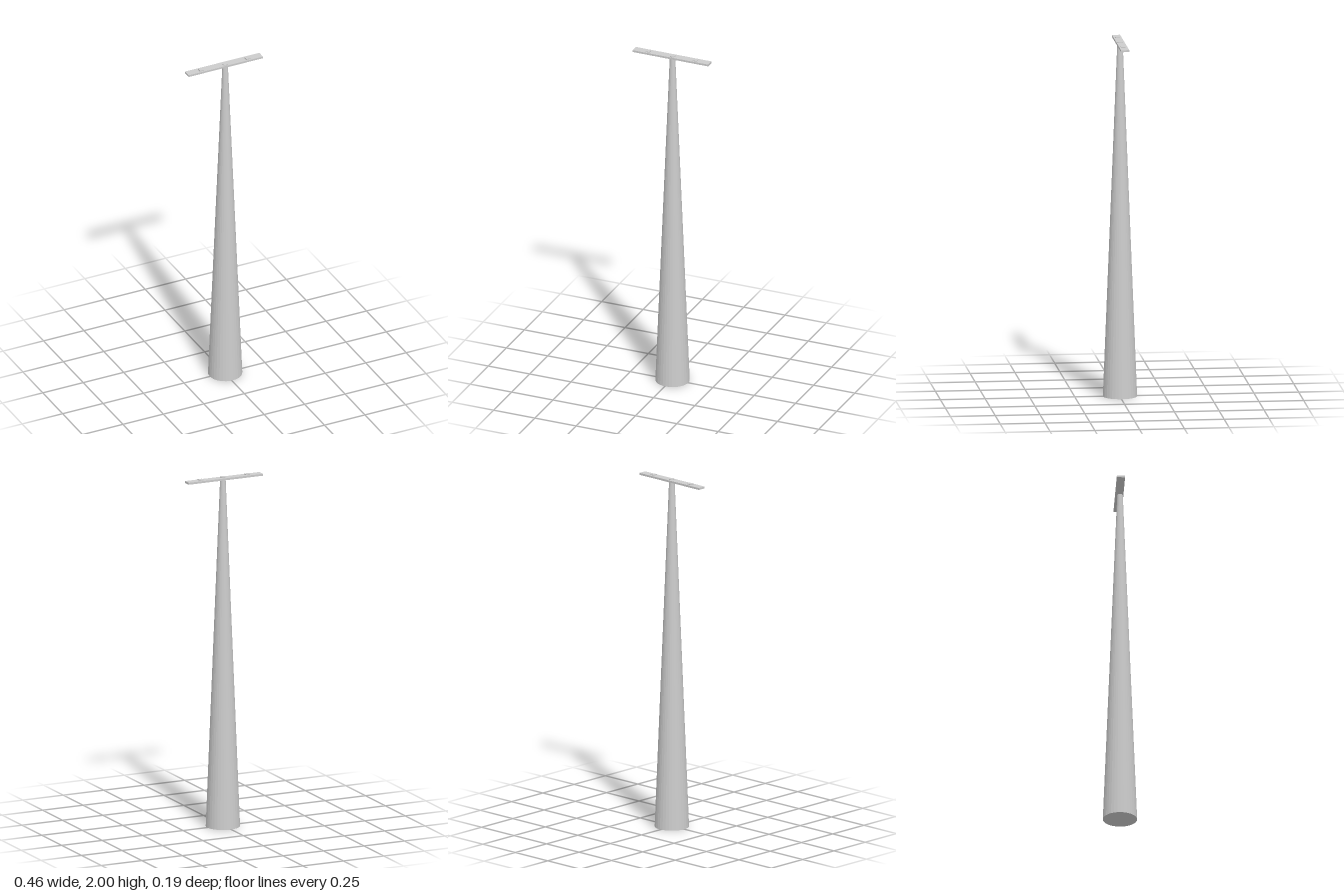
import * as THREE from 'three';

export function createModel() {
  const group = new THREE.Group();
  const grey = new THREE.MeshStandardMaterial({ color: 0xcccccc, flatShading: true });
  grey.name = 'light grey';

  const add = (name, geometry, x, y, z) => {
    const mesh = new THREE.Mesh(geometry, grey);
    mesh.name = name;
    mesh.position.set(x, y, z);
    group.add(mesh);
  };

  // Tall tapered pole, poking just through the crossbar
  add('pole', new THREE.CylinderGeometry(0.015, 0.0955, 2, 32), 0.005, 1, -0.002);

  // Thin flat crossbar, set slightly back
  add('crossbar', new THREE.BoxGeometry(0.459, 0.011, 0.046), 0, 1.99, -0.006);

  // Small square pads on each arm
  for (const side of [-1, 1]) {
    add(side > 0 ? 'leftPad' : 'rightPad', new THREE.BoxGeometry(0.025, 0.008, 0.025), side * 0.143, 1.996, -0.004);
  }

  return group;
}
